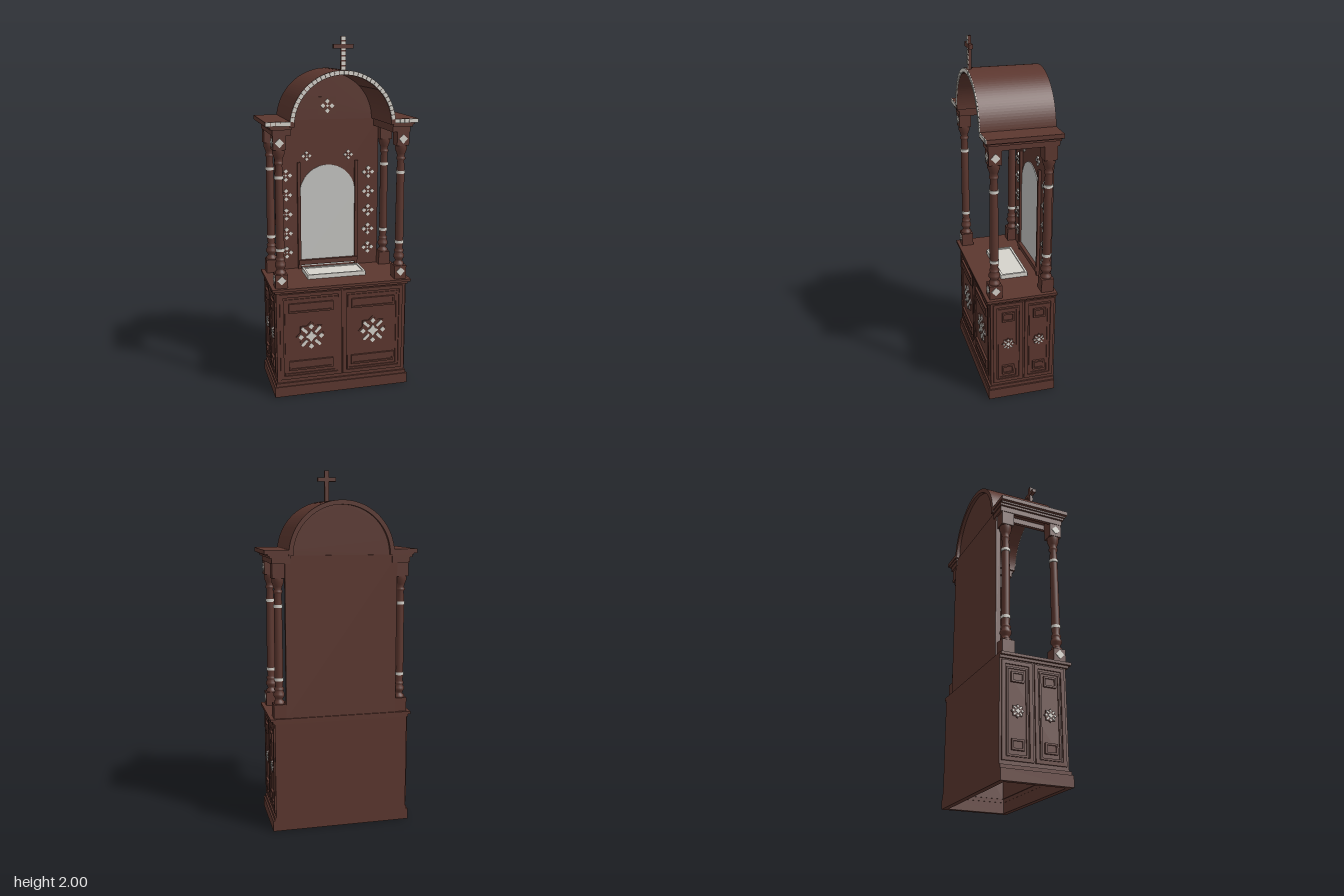
import * as THREE from 'three';

const wood = new THREE.MeshStandardMaterial({ color: 0x5c372f });
wood.name = 'dark wood';
const inlay = new THREE.MeshStandardMaterial({ color: 0xd6d3cc });
inlay.name = 'pale inlay';
const glass = new THREE.MeshStandardMaterial({ color: 0xc6c6c3 });
glass.name = 'mirror glass';

function add(parent, name, geo, mat = wood, x = 0, y = 0, z = 0) {
  const m = new THREE.Mesh(geo, mat);
  m.name = name;
  m.position.set(x, y, z);
  parent.add(m);
  return m;
}

function group(parent, name, x = 0, y = 0, z = 0) {
  const g = new THREE.Group();
  g.name = name;
  g.position.set(x, y, z);
  parent.add(g);
  return g;
}

// box given by its limits
function box(parent, name, x0, x1, y0, y1, z0, z1, mat = wood) {
  return add(parent, name, new THREE.BoxGeometry(x1 - x0, y1 - y0, z1 - z0), mat,
    (x0 + x1) / 2, (y0 + y1) / 2, (z0 + z1) / 2);
}

const extrude = (shape, depth) =>
  new THREE.ExtrudeGeometry(shape, { depth, bevelEnabled: false, curveSegments: 32 });

const poly = (pts) => new THREE.Shape(pts.map(([x, y]) => new THREE.Vector2(x, y)));
const rect = (w, h) => poly([[-w / 2, -h / 2], [w / 2, -h / 2], [w / 2, h / 2], [-w / 2, h / 2]]);
const diamond = (r) => poly([[0, -r], [r, 0], [0, r], [-r, 0]]);

// rectangular frame with a border of width t, facing z
function frame(w, h, t, depth) {
  const s = rect(w, h);
  s.holes.push(rect(w - 2 * t, h - 2 * t));
  return extrude(s, depth);
}

// hollow rectangular wall standing on y
function wall(parent, name, x0, x1, y0, y1, z0, z1, t) {
  const g = frame(x1 - x0, z1 - z0, t, y1 - y0).rotateX(-Math.PI / 2);
  return add(parent, name, g, wood, (x0 + x1) / 2, y0, (z0 + z1) / 2);
}

function star(n, r, inner) {
  return poly(Array.from({ length: n * 2 }, (_, i) => {
    const a = (i * Math.PI) / n, q = i % 2 ? inner : r;
    return [q * Math.cos(a), q * Math.sin(a)];
  }));
}

// small flower of four inlaid diamonds
function flower(parent, x, y, z, r, square = false) {
  const g = group(parent, 'flowerOrnament', x, y, z);
  add(g, 'flowerPlate', extrude(square ? rect(r * 2.6, r * 2.6) : star(4, r, r * 0.6), 0.005));
  for (let i = 0; i < 4; i++) {
    const a = (i * Math.PI) / 2;
    add(g, 'flowerPetal', extrude(diamond(r * 0.36), 0.008), inlay,
      Math.cos(a) * r * 0.68, Math.sin(a) * r * 0.68);
  }
  add(g, 'flowerCentre', extrude(diamond(r * 0.2), 0.008), inlay);
}

// eight-pointed rosette with diagonal bars
function rosette(parent, y, z, r) {
  const g = group(parent, 'rosette', 0, y, z);
  add(g, 'rosettePlate', extrude(star(8, r * 1.1, r * 0.85), 0.006));
  add(g, 'rosetteCentre', extrude(star(4, r * 0.42, r * 0.24), 0.01), inlay);
  for (let i = 0; i < 4; i++) {
    const a = (i * Math.PI) / 2, d = a + Math.PI / 4;
    add(g, 'rosettePetal', extrude(diamond(r * 0.2), 0.01), inlay,
      Math.cos(a) * r * 0.74, Math.sin(a) * r * 0.74);
    add(g, 'rosetteBar', extrude(rect(r * 0.55, r * 0.2), 0.01), inlay,
      Math.cos(d) * r * 0.68, Math.sin(d) * r * 0.68).rotation.z = d;
  }
}

// panelled door facing z
function door(parent, name, x, z, w, barW, rosetteR, turn = 0) {
  const g = group(parent, name, x, 0, z);
  g.rotation.y = turn;
  add(g, 'doorFrame', frame(w, 0.51, 0.02, 0.008), wood, 0, 0.355);
  add(g, 'doorMoulding', frame(w - 0.055, 0.455, 0.01, 0.006), wood, 0, 0.35);
  for (const y of [0.18, 0.525]) {
    add(g, 'barFrame', frame(barW, 0.055, 0.01, 0.012), wood, 0, y);
    add(g, 'barPanel', extrude(rect(barW - 0.02, 0.035), 0.005), wood, 0, y);
  }
  rosette(g, 0.35, 0, rosetteR);
}

// turned column with square blocks and inlaid bands
function column(parent, side, z, front) {
  const g = group(parent, front ? 'frontColumn' : 'backColumn', side * 0.345, 0, z);
  box(g, 'columnBase', -0.035, 0.035, 0.645, 0.725, -0.035, 0.035);
  box(g, 'columnHead', -0.035, 0.035, 1.415, 1.53, -0.035, 0.035);
  const half = [[0.03, 0.725], [0.03, 0.738], [0.02, 0.745], [0.022, 0.755], [0.031, 0.77],
    [0.031, 0.782], [0.022, 0.797], [0.027, 0.803], [0.027, 0.812], [0.02, 0.82], [0.024, 0.85]];
  const top = [[0.022, 1.28], [0.019, 1.33], [0.025, 1.338], [0.025, 1.347], [0.02, 1.353],
    [0.024, 1.37], [0.033, 1.393], [0.033, 1.415]];
  add(g, 'columnShaft', new THREE.LatheGeometry(
    [...half, ...top].map(([r, y]) => new THREE.Vector2(r, y)), 20));
  for (const y of [0.862, 1.265]) {
    add(g, 'columnBand', new THREE.CylinderGeometry(0.026, 0.026, 0.016, 20), inlay, 0, y);
  }
  if (!front) return;
  for (const y of [0.692, 1.453]) {
    add(g, 'frontDiamond', extrude(diamond(0.025), 0.004), inlay, 0, y, 0.035);
    add(g, 'sideDiamond', extrude(diamond(0.025), 0.004), inlay, side * 0.035, y)
      .rotation.y = side * Math.PI / 2;
  }
}

// ring sector standing in the xy plane
function arcShape(r0, r1, a0, a1) {
  const s = new THREE.Shape();
  s.absarc(0, 0, r1, a0, a1, false);
  s.absarc(0, 0, r0, a1, a0, true);
  return s;
}

export function createModel() {
  const model = new THREE.Group();
  model.name = 'altarCabinet';

  // cabinet, open underneath
  const cabinet = group(model, 'cabinet');
  wall(cabinet, 'plinth', -0.395, 0.395, 0, 0.06, -0.2, 0.192, 0.03);
  wall(cabinet, 'plinthStep', -0.386, 0.386, 0.06, 0.08, -0.2, 0.186, 0.025);
  wall(cabinet, 'cabinetBody', -0.378, 0.378, 0.08, 0.62, -0.2, 0.176, 0.02);
  box(cabinet, 'topMoulding', -0.388, 0.388, 0.618, 0.632, -0.2, 0.188);
  box(cabinet, 'tableTop', -0.402, 0.402, 0.632, 0.647, -0.2, 0.2);
  for (const s of [-1, 1]) {
    door(cabinet, 'frontDoor', s * 0.182, 0.176, 0.355, 0.255, 0.08);
    for (const z of [0.077, -0.104]) {
      door(cabinet, 'sidePanel', s * 0.378, z, 0.17, 0.07, 0.033, s * Math.PI / 2);
    }
  }

  // offering slab with a raised rim
  box(model, 'slab', -0.172, 0.172, 0.647, 0.666, -0.097, 0.06, inlay);
  add(model, 'slabRim', frame(0.344, 0.157, 0.012, 0.006).rotateX(-Math.PI / 2), inlay, 0, 0.666, -0.0185);

  // back wall with mirror and ornaments
  const back = group(model, 'backWall');
  box(back, 'backPanel', -0.312, 0.312, 0.645, 1.535, -0.192, -0.165);
  const mirror = new THREE.Shape();
  mirror.moveTo(-0.167, 0.66);
  mirror.lineTo(0.167, 0.66);
  mirror.lineTo(0.167, 1.103);
  mirror.absarc(0, 1.103, 0.167, 0, Math.PI, false);
  add(back, 'mirror', extrude(mirror, 0.005), glass, 0, 0, -0.165);
  box(back, 'mirrorSill', -0.18, 0.18, 0.672, 0.7, -0.165, -0.14);
  for (const s of [-1, 1]) {
    const x = s * 0.174;
    box(back, 'mirrorStile', x - 0.009, x + 0.009, 0.647, 1.29, -0.165, -0.148);
    for (let i = 0; i < 5; i++) flower(back, s * 0.25, 0.75 + i * 0.1165, -0.165, 0.036);
    flower(back, s * 0.126, 1.326, -0.165, 0.028);
  }
  add(back, 'tympanum', extrude(arcShape(0, 0.272, 0, Math.PI), 0.02), wood, 0, 1.535, -0.185);
  flower(back, 0, 1.613, -0.165, 0.04, true);

  // columns and side entablatures
  for (const s of [-1, 1]) {
    column(model, s, 0.145, true);
    column(model, s, -0.15, false);
    const sideRoof = group(model, 'sideRoof', s * 0.345);
    const inner = -s * 0.063;
    const span = (out) => [Math.min(inner, s * out), Math.max(inner, s * out)];
    wall(sideRoof, 'beam', ...span(0.038), 1.492, 1.53, -0.195, 0.184, 0.02);
    box(sideRoof, 'lowerCornice', ...span(0.05), 1.522, 1.534, -0.2, 0.192);
    box(sideRoof, 'upperCornice', ...span(0.06), 1.534, 1.543, -0.2, 0.197);
    box(sideRoof, 'roofLedge', ...span(0.078), 1.543, 1.566, -0.205, 0.2);
    for (let i = 0; i < 5; i++) {
      const x = s * (-0.043 + i * 0.0265);
      box(sideRoof, 'ledgeTile', x - 0.0122, x + 0.0122, 1.544, 1.565, 0.2, 0.205, inlay);
    }
  }

  // barrel vault with tiled front edge
  const vault = group(model, 'vault', 0, 1.535);
  add(vault, 'vaultShell', extrude(arcShape(0.268, 0.292, 0, Math.PI), 0.405), wood, 0, 0, -0.205);
  const tiles = 32, start = 0.1, step = (Math.PI - 2 * start) / tiles;
  for (let i = 0; i < tiles; i++) {
    const a = start + i * step;
    add(vault, 'archTile', extrude(arcShape(0.27, 0.291, a + 0.005, a + step - 0.005), 0.005), inlay, 0, 0, 0.2);
  }

  // cross with inlaid stem
  const cross = group(model, 'cross');
  box(cross, 'crossStem', -0.013, 0.013, 1.82, 2, 0.175, 0.191);
  box(cross, 'crossArm', -0.054, 0.054, 1.938, 1.961, 0.174, 0.196);
  for (let i = 0; i < 7; i++) {
    const y = 1.828 + i * 0.0255;
    box(cross, 'stemTile', -0.0115, 0.0115, y, y + 0.0185, 0.191, 0.195, inlay);
  }
  return model;
}
